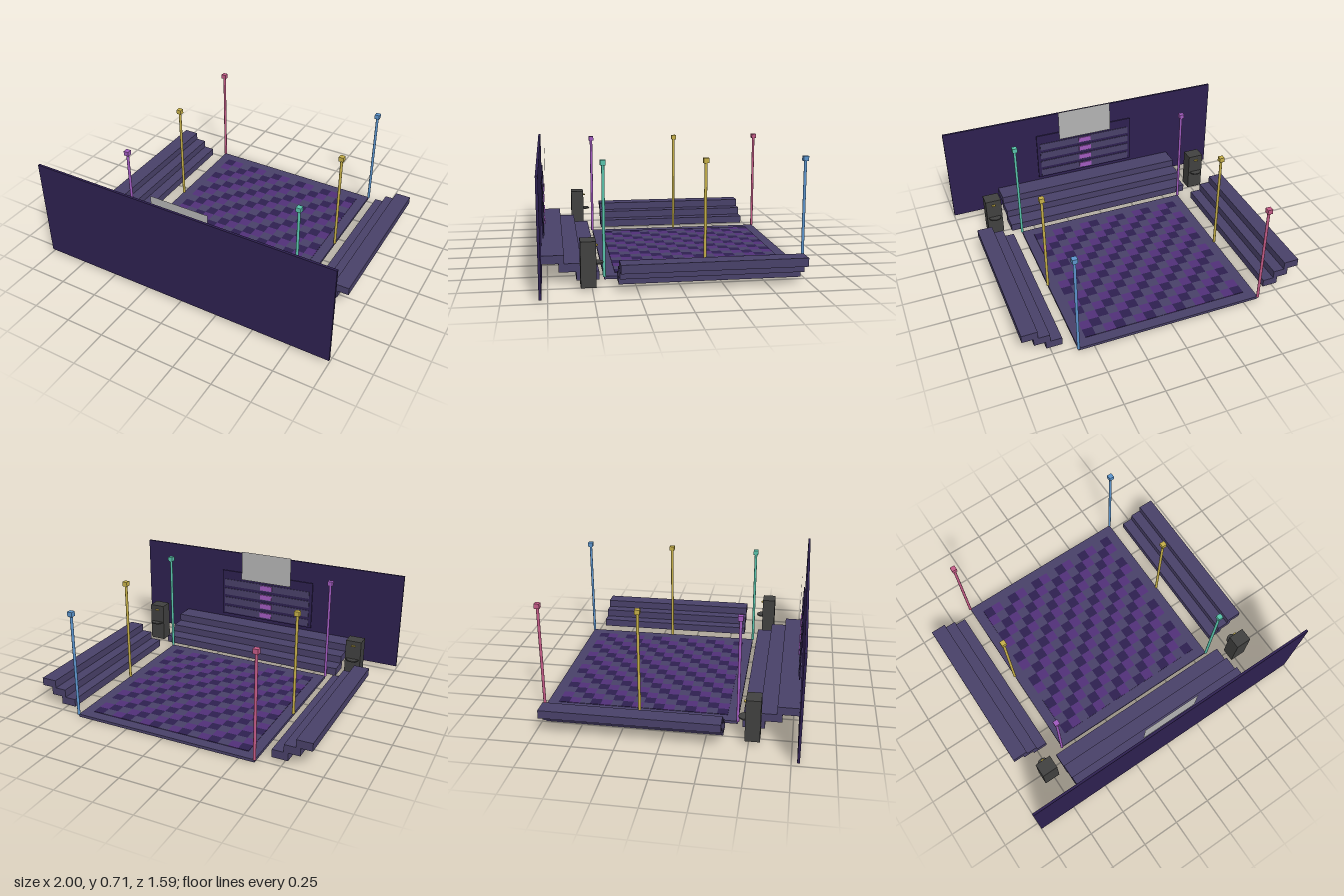
import * as THREE from 'three';

const mat = (name, color) => {
  const m = new THREE.MeshStandardMaterial({ color });
  m.name = name;
  return m;
};

export function createModel() {
  const model = new THREE.Group();
  model.name = 'danceHall';
  const wallMat = mat('darkViolet', 0x2d204f);
  const floorMat = mat('slateViolet', 0x484068);
  const tileMat = mat('brightViolet', 0x502f78);
  const speakerMat = mat('charcoal', 0x40403f);
  const yellow = mat('yellow', 0xc4ae48);
  const blue = mat('blue', 0x5c94cc);
  const teal = mat('teal', 0x58c2aa);
  const pink = mat('pink', 0xc25a85);
  const purple = mat('purple', 0xa05abe);
  const grey = mat('grey', 0xb2b2b2);
  grey.side = THREE.DoubleSide;

  const add = (name, geo, material, x, y, z, parent = model) => {
    const mesh = new THREE.Mesh(geo, material);
    mesh.name = name;
    mesh.position.set(x, y, z);
    parent.add(mesh);
    return mesh;
  };
  // Box given by its extents
  const box = (name, material, [x0, x1], [y0, y1], [z0, z1], parent) =>
    add(name, new THREE.BoxGeometry(x1 - x0, y1 - y0, z1 - z0), material,
      (x0 + x1) / 2, (y0 + y1) / 2, (z0 + z1) / 2, parent);
  const group = (name) => {
    const g = new THREE.Group();
    g.name = name;
    model.add(g);
    return g;
  };

  // Dance floor with a diagonal three-tone tile pattern
  box('floor', floorMat, [-0.6, 0.6], [0, 0.018], [-0.78, 0.42]);
  const tiles = group('floorTiles');
  const n = 16, size = 1.066 / n;
  const tileGeo = new THREE.BoxGeometry(size, 0.004, size);
  const tones = [wallMat, tileMat, floorMat];
  for (let i = 0; i < n; i++) {
    for (let j = 0; j < n; j++) {
      add('tile', tileGeo, tones[(i + j) % 3],
        (i - (n - 1) / 2) * size, 0.019, -0.18 + (j - (n - 1) / 2) * size, tiles);
    }
  }

  // Light posts around the floor
  const postGeo = new THREE.CylinderGeometry(0.009, 0.009, 0.665, 12);
  const capGeo = new THREE.BoxGeometry(0.032, 0.03, 0.032);
  const posts = [
    [-0.6, -0.78, pink], [0.6, -0.78, blue],
    [-0.6, 0.42, purple], [0.6, 0.42, teal],
    [-0.6, -0.18, yellow], [0.6, -0.18, yellow],
  ];
  for (const [x, z, m] of posts) {
    const post = group('lightPost');
    add('pole', postGeo, m, x, 0.35, z, post);
    add('lamp', capGeo, m, x, 0.692, z, post);
  }

  // Overlapping bench slabs along the wall and both sides
  const frontBench = group('frontBench');
  const leftBench = group('leftBench');
  const rightBench = group('rightBench');
  for (let i = 0; i < 3; i++) {
    const y = [0.02 + i * 0.0505, 0.0705 + i * 0.0505];
    const z = 0.453 + i * 0.1, x = 0.676 + i * 0.0715;
    box('step', floorMat, [-0.664, 0.664], y, [z, z + 0.132], frontBench);
    box('step', floorMat, [x, x + 0.1], y, [-0.713, 0.351], leftBench);
    box('step', floorMat, [-x - 0.1, -x], y, [-0.713, 0.351], rightBench);
  }

  // Back wall
  box('wall', wallMat, [-1, 1], [0.02, 0.687], [0.782, 0.797]);

  // Display board with four rows, and the blank sign above it
  const board = group('board');
  box('panel', wallMat, [-0.357, 0.357], [0.2, 0.542], [0.767, 0.775], board);
  for (let i = 0; i < 4; i++) {
    const y = 0.237 + i * 0.071;
    box('row', floorMat, [-0.335, 0.335], [y - 0.025, y + 0.025], [0.763, 0.767], board);
    box('rowMark', purple, [-0.045, 0.045], [y - 0.018, y + 0.018], [0.757, 0.763], board);
  }
  const sign = add('sign', new THREE.PlaneGeometry(0.386, 0.215), grey, 0, 0.602, 0.75);
  sign.rotation.y = Math.PI;

  // Speakers with flat disc cones
  for (const s of [-1, 1]) {
    const speaker = group(s > 0 ? 'leftSpeaker' : 'rightSpeaker');
    const x = s * 0.767;
    box('cabinet', speakerMat, [x - 0.053, x + 0.053], [0.02, 0.285], [0.478, 0.566], speaker);
    add('woofer', new THREE.CylinderGeometry(0.042, 0.042, 0.008, 24), speakerMat, x, 0.153, 0.478, speaker);
    add('tweeter', new THREE.CylinderGeometry(0.014, 0.014, 0.007, 20), yellow, x, 0.253, 0.478, speaker);
  }
  return model;
}
